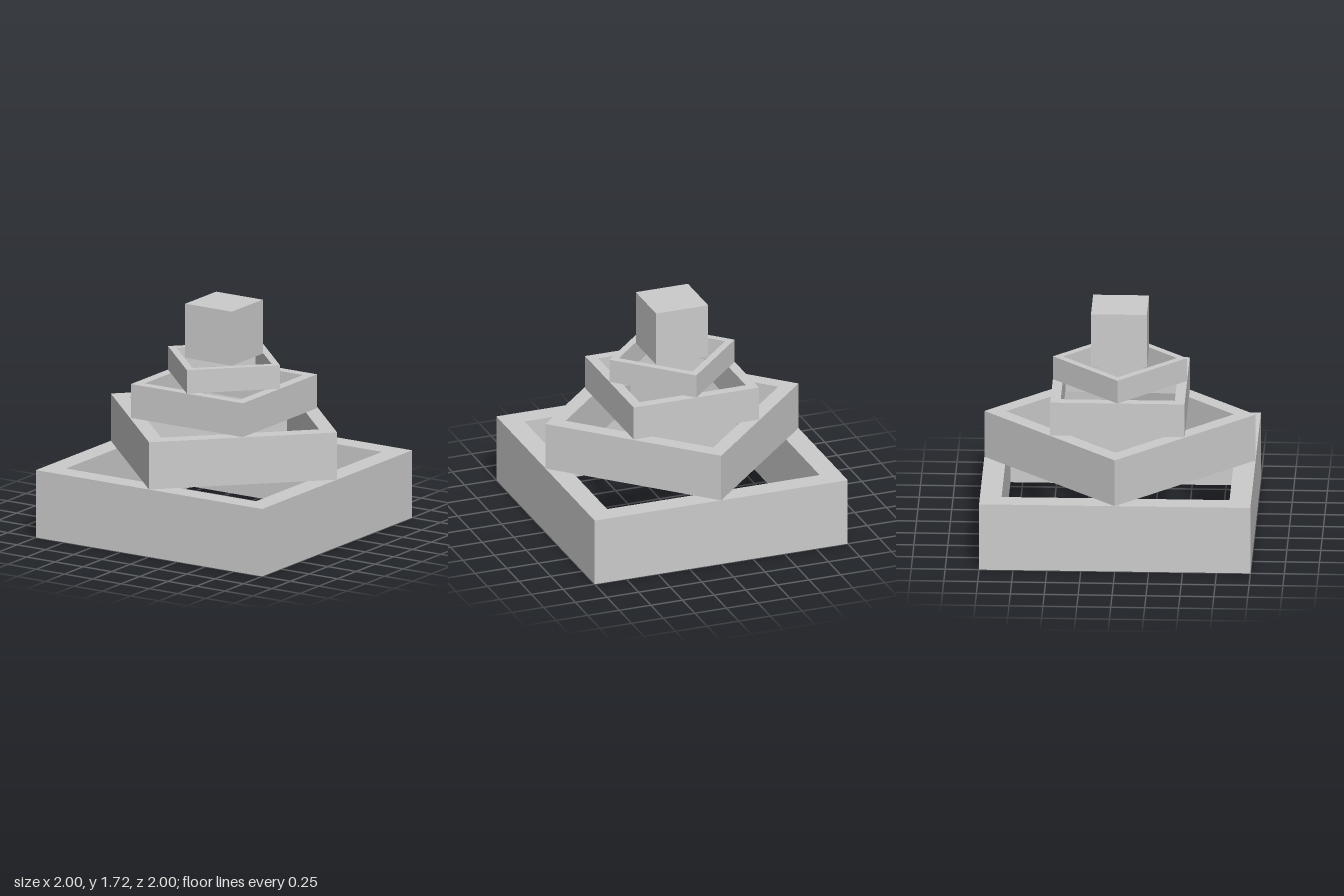
import * as THREE from 'three';

const material = new THREE.MeshStandardMaterial({ color: 0xcccccc, flatShading: true });

// Square outline with its corners at the given radius; turned ones point along the axes
function square(path, radius, turned) {
  const start = turned ? 0 : Math.PI / 4;
  const points = [];
  for (let i = 0; i < 4; i++) {
    const a = start + i * Math.PI / 2;
    points.push(new THREE.Vector2(Math.cos(a) * radius, Math.sin(a) * radius));
  }
  return path.setFromPoints(points);
}

// Open square frame standing between two heights
function frame(name, outer, inner, bottom, top, turned) {
  const shape = square(new THREE.Shape(), outer, turned);
  shape.holes.push(square(new THREE.Path(), inner, turned));
  const geometry = new THREE.ExtrudeGeometry(shape, { depth: top - bottom, bevelEnabled: false });
  geometry.rotateX(-Math.PI / 2);
  const mesh = new THREE.Mesh(geometry, material);
  mesh.name = name;
  mesh.position.y = bottom;
  return mesh;
}

export function createModel() {
  const group = new THREE.Group();
  group.name = 'steppedFrameTower';
  const d = Math.SQRT2;

  // Four stacked frames, every second one turned by 45 degrees
  group.add(
    frame('baseFrame', d, 0.84 * d, 0, 0.514, false),
    frame('lowerTurnedFrame', 1, 0.84, 0.514, 0.874, true),
    frame('upperFrame', 0.495 * d, 0.42 * d, 0.874, 1.132, false),
    frame('upperTurnedFrame', 0.495, 0.42, 1.132, 1.311, true)
  );

  // Solid cube above the frames
  const size = 0.412;
  const cube = new THREE.Mesh(new THREE.BoxGeometry(size, size, size), material);
  cube.name = 'topCube';
  cube.position.y = 1.311 + size / 2;
  group.add(cube);

  return group;
}
